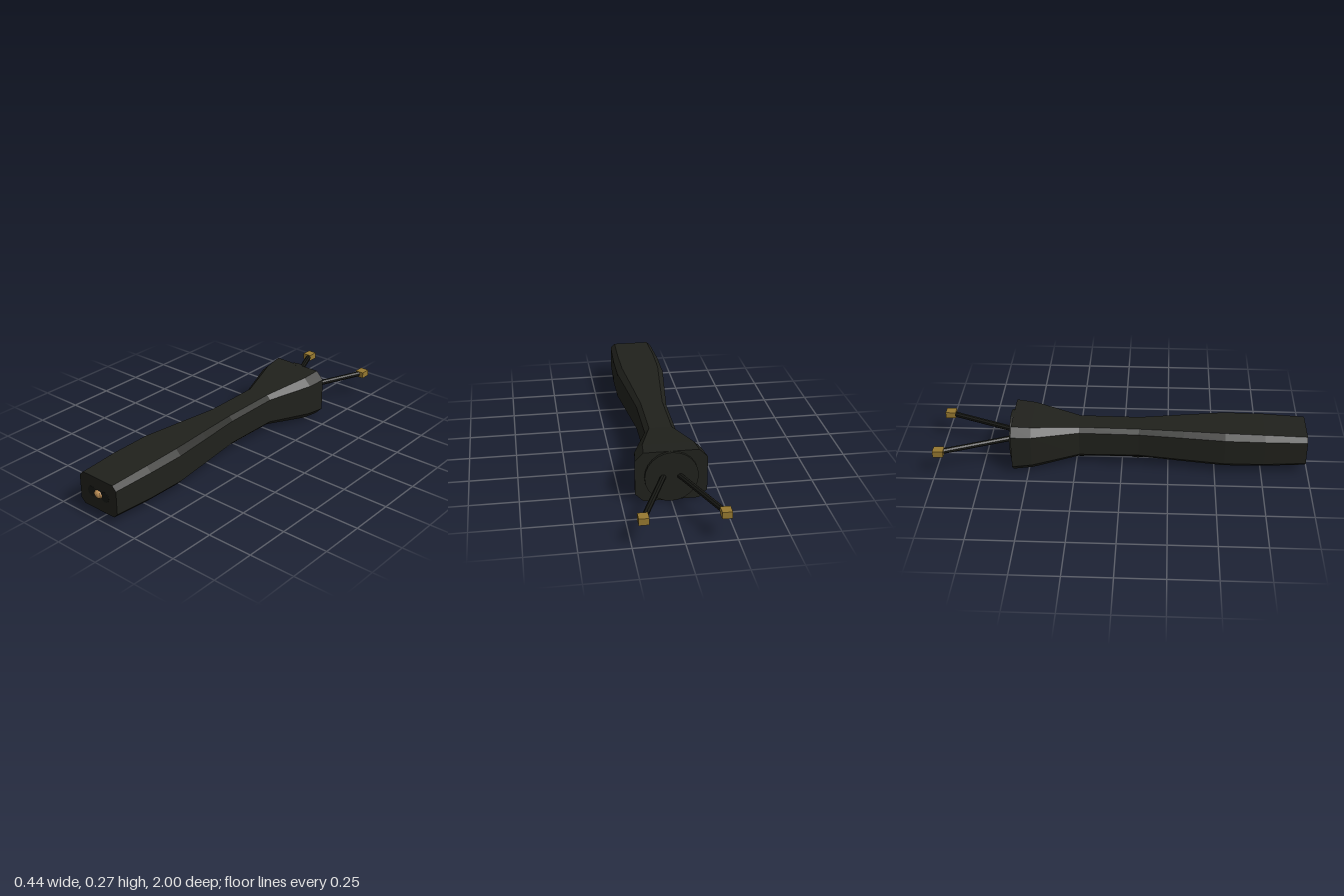
import * as THREE from 'three';

const CY = 0.137; // height of the long axis
const paint = (color) => new THREE.MeshStandardMaterial({ color, flatShading: true });

// Loft of chamfered rectangles; each section is [z, halfWidth, halfHeight, chamfer]
function loft(sections) {
  const pos = [], index = [], n = 8;
  for (const [z, w, h, c] of sections) {
    const ring = [[w, c - h], [w, h - c], [w - c, h], [c - w, h], [-w, h - c], [-w, c - h], [c - w, -h], [w - c, -h]];
    for (const [x, y] of ring) pos.push(x, y, z);
  }
  for (let s = 0; s < sections.length - 1; s++) {
    for (let i = 0; i < n; i++) {
      const a = s * n + i, a1 = s * n + (i + 1) % n;
      index.push(a, a + n, a1, a1, a + n, a1 + n);
    }
  }
  // End caps
  const last = (sections.length - 1) * n;
  for (let i = 1; i < n - 1; i++) index.push(0, i, i + 1, last, last + i + 1, last + i);
  const geo = new THREE.BufferGeometry();
  geo.setAttribute('position', new THREE.Float32BufferAttribute(pos, 3));
  geo.setIndex(index);
  const flat = geo.toNonIndexed();
  flat.computeVertexNormals();
  return flat;
}

export function createModel() {
  const model = new THREE.Group();
  const black = paint(0x20211c), dark = paint(0x171814), brass = paint(0x967830), amber = paint(0xc8975a);

  function add(name, geo, mat, x, y, z) {
    const mesh = new THREE.Mesh(geo, mat);
    mesh.name = name;
    mesh.position.set(x, y, z);
    model.add(mesh);
    return mesh;
  }

  // Handle: swollen grip, narrow neck and flared head
  add('body', loft([
    [0.985, 0.125, 0.088, 0.024],
    [0.76, 0.135, 0.098, 0.028],
    [0.55, 0.135, 0.102, 0.03],
    [0.33, 0.11, 0.096, 0.027],
    [0.09, 0.083, 0.088, 0.023],
    [-0.23, 0.083, 0.091, 0.023],
    [-0.48, 0.17, 0.126, 0.04],
    [-0.585, 0.182, 0.135, 0.043],
  ]), black, 0, CY - 0.001, 0);

  // Round plate on the head
  add('headPlate', new THREE.CylinderGeometry(0.135, 0.135, 0.03, 24).rotateX(Math.PI / 2), black, 0, CY - 0.001, -0.585);

  // Thumb buttons underneath
  for (const z of [0.085, -0.225]) {
    const button = add('button', new THREE.SphereGeometry(1, 10, 8), dark, 0, 0.055, z);
    button.scale.set(0.046, 0.048, 0.066);
  }

  // Indicator lamp between two sockets on the butt end
  const lamp = add('lamp', new THREE.SphereGeometry(1, 10, 8), amber, 0, CY, 0.984);
  lamp.scale.set(0.027, 0.022, 0.016);

  for (const side of [-1, 1]) {
    add('socket', new THREE.CylinderGeometry(0.028, 0.028, 0.01, 16).rotateX(Math.PI / 2), dark, side * 0.044, CY, 0.981);

    // Splayed prong with a block tip
    const from = new THREE.Vector3(side * 0.036, CY, -0.58);
    const to = new THREE.Vector3(side * 0.189, CY, -0.96);
    const dir = to.clone().sub(from);
    const mid = from.clone().add(to).multiplyScalar(0.5);
    const prong = add('prong', new THREE.CylinderGeometry(0.015, 0.015, dir.length(), 8), dark, mid.x, mid.y, mid.z);
    prong.quaternion.setFromUnitVectors(new THREE.Vector3(0, 1, 0), dir.normalize());
    add('prongTip', new THREE.BoxGeometry(0.05, 0.035, 0.056), brass, side * 0.194, CY, -0.972);
  }
  return model;
}
